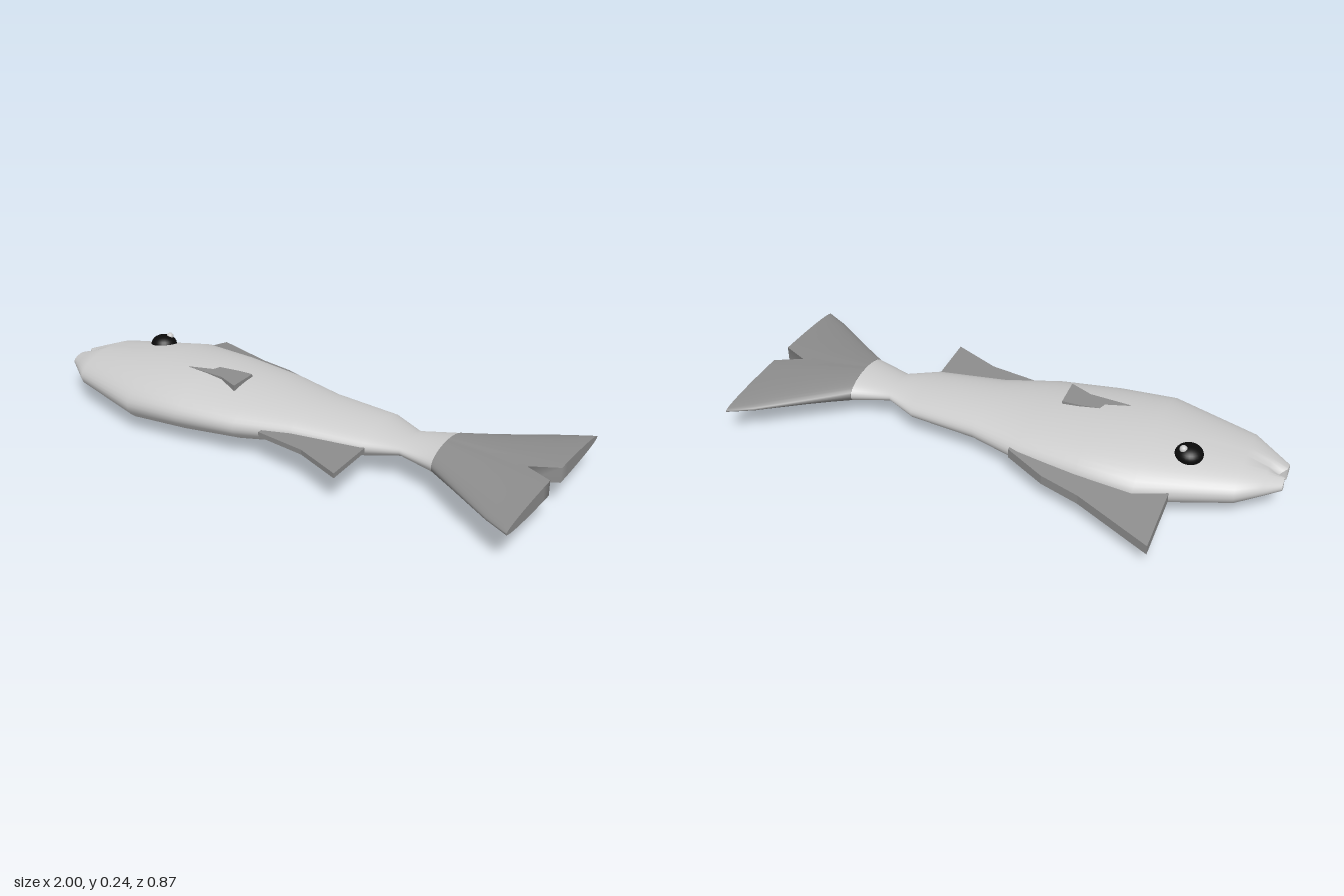
import * as THREE from 'three';
import { mergeGeometries } from 'three/addons/utils/BufferGeometryUtils.js';

const N = 48; // points around each cross-section
const grey = new THREE.MeshStandardMaterial({ color: 0xcccccc });
const finGrey = new THREE.MeshStandardMaterial({ color: 0x8c8c8c });
const black = new THREE.MeshStandardMaterial({ color: 0x0a0a0a });
const white = new THREE.MeshStandardMaterial({ color: 0xffffff });

function geometryOf(points, index) {
  const g = new THREE.BufferGeometry();
  g.setAttribute('position', new THREE.Float32BufferAttribute(points.flatMap(p => p.toArray()), 3));
  g.setIndex(index);
  g.computeVertexNormals();
  return g;
}

// Flat strip across one end, joining the upper and lower halves of a ring
function endCap(ring, facing) {
  const index = [];
  const id = k => (k + 2 * N) % N;
  for (let k = -N / 4; k < N / 4; k++) {
    const a = id(k), b = id(k + 1), c = id(N / 2 - k - 1), d = id(N / 2 - k);
    if (facing > 0) index.push(a, b, c, a, c, d);
    else index.push(a, c, b, a, d, c);
  }
  return geometryOf(ring, index);
}

// Skin over rings of points, with both ends closed
function loft(rings) {
  const index = [];
  for (let i = 0; i < rings.length - 1; i++) {
    for (let j = 0; j < N; j++) {
      const k = (j + 1) % N;
      const a = i * N + j, b = i * N + k, c = a + N, d = b + N;
      index.push(a, b, c, b, d, c);
    }
  }
  return mergeGeometries([
    geometryOf(rings.flat(), index),
    endCap(rings[0], -1),
    endCap(rings[rings.length - 1], 1),
  ]);
}

// Elliptical cross-section at x; adjust(point, sine) may reshape each point
function ring([x, zMin, zMax, yMin, yMax], adjust) {
  return Array.from({ length: N }, (_, j) => {
    const a = (j / N) * Math.PI * 2;
    const p = new THREE.Vector3(
      x,
      (yMin + yMax) / 2 + Math.cos(a) * (yMax - yMin) / 2,
      (zMin + zMax) / 2 + Math.sin(a) * (zMax - zMin) / 2);
    if (adjust) adjust(p, Math.sin(a));
    return p;
  });
}

// Flat fin from an outline in x and z, sheared in y away from z0
function fin(name, outline, yTop, thickness, slope = 0, z0 = 0) {
  const shape = new THREE.Shape(outline.map(([x, z]) => new THREE.Vector2(x, z)));
  const g = new THREE.ExtrudeGeometry(shape, { depth: thickness, bevelEnabled: false });
  g.rotateX(Math.PI / 2).translate(0, yTop, 0);
  const pos = g.attributes.position;
  for (let i = 0; i < pos.count; i++) pos.setY(i, pos.getY(i) + slope * (pos.getZ(i) - z0));
  g.computeVertexNormals();
  return named(name, g, finGrey);
}

function named(name, geometry, material) {
  const m = new THREE.Mesh(geometry, material);
  m.name = name;
  return m;
}

export function createModel() {
  const fish = new THREE.Group();
  fish.name = 'fish';

  // Body: x, zMin, zMax, yMin, yMax
  const sections = [
    [-1, -0.02, 0.12, 0.09, 0.14],
    [-0.94, -0.07, 0.167, 0.07, 0.162],
    [-0.86, -0.135, 0.23, 0.045, 0.19],
    [-0.54, -0.245, 0.335, 0.003, 0.228],
    [-0.33, -0.225, 0.32, 0.01, 0.223],
    [-0.1, -0.19, 0.288, 0.028, 0.205],
    [0.1, -0.13, 0.22, 0.05, 0.186],
    [0.36, -0.1, 0.183, 0.062, 0.172],
    [0.48, -0.04, 0.13, 0.085, 0.148],
    [0.62, -0.085, 0.17, 0.066, 0.17],
  ];
  // The mouth pinches the snout along its midline
  const body = sections.map((s, i) => ring(s, p => {
    const depth = [0.85, 0.4][i] || 0;
    const pinch = depth * Math.max(0, 1 - Math.abs(p.z - 0.045) / 0.024);
    p.y += (0.115 - p.y) * pinch;
    if (i === 0) p.x += 0.035 * pinch;
  }));
  fish.add(named('body', loft(body), grey));

  // Tail fin, flaring out with a notch in its rear edge
  const tail = [
    [0.62, -0.086, 0.171, 0.065, 0.171],
    [0.91, -0.3, 0.38, 0.084, 0.15],
    [1, -0.35, 0.432, 0.09, 0.145],
  ].map((s, i) => ring(s, (p, sine) => {
    if (i === 2 && Math.abs(sine) < 0.05) p.x = 0.9;
    if (i === 1 && Math.abs(sine) < 0.05) p.x = 0.84;
  }));
  fish.add(named('tailFin', loft(tail), finGrey));

  // Fins
  fish.add(fin('dorsalFin',
    [[-0.655, -0.44], [-0.37, -0.31], [-0.22, -0.265], [-0.065, -0.185], [-0.065, -0.1], [-0.655, -0.1]],
    0.13, 0.035, 0.18, -0.2));
  fish.add(fin('analFin',
    [[0, 0.15], [0.37, 0.1], [0.38, 0.39], [0.2, 0.305], [0, 0.27]],
    0.125, 0.018));
  fish.add(fin('pectoralFin',
    [[-0.42, 0.115], [-0.32, 0.055], [-0.24, 0.046], [-0.18, 0.046], [-0.175, 0.168], [-0.26, 0.128]],
    0.222, 0.022));

  // Eye with a small highlight
  const eye = named('eye', new THREE.SphereGeometry(0.05, 24, 16), black);
  eye.scale.y = 0.7;
  eye.position.set(-0.68, 0.202, -0.06);
  const glint = named('eyeHighlight', new THREE.SphereGeometry(0.014, 16, 12), white);
  glint.position.set(-0.663, 0.23, -0.078);
  fish.add(eye, glint);

  return fish;
}
